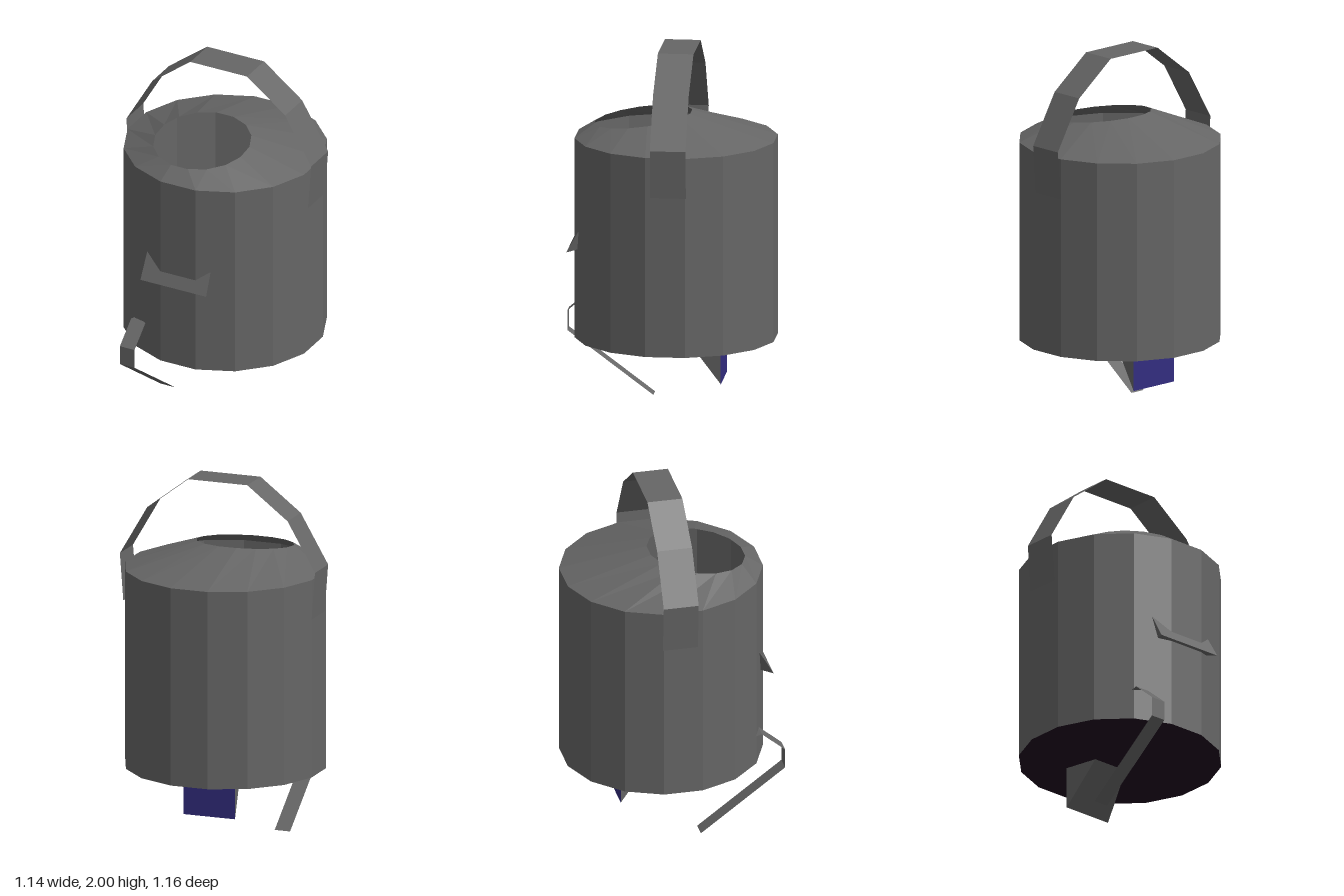
import * as THREE from 'three';

const make = (name, color) => {
  const m = new THREE.MeshStandardMaterial({ color, side: THREE.DoubleSide });
  m.name = name;
  return m;
};

// Skin a list of equal-length rows of points with flat-shaded quads
function loft(rows, closed = false) {
  const pos = [];
  const n = rows[0].length;
  for (let r = 0; r < rows.length - 1; r++) {
    for (let i = 0; i < (closed ? n : n - 1); i++) {
      const j = (i + 1) % n;
      const a = rows[r][i], b = rows[r][j], c = rows[r + 1][j], d = rows[r + 1][i];
      pos.push(...a, ...b, ...c, ...a, ...c, ...d);
    }
  }
  const g = new THREE.BufferGeometry();
  g.setAttribute('position', new THREE.Float32BufferAttribute(pos, 3));
  g.computeVertexNormals();
  return g;
}

// Sixteen-sided ring whose height may vary with z
function ring(cx, cz, radius, height) {
  return Array.from({ length: 16 }, (_, i) => {
    const a = (i + 0.5) * Math.PI / 8;
    const z = cz + radius * Math.cos(a);
    return [cx + radius * Math.sin(a), height(z), z];
  });
}

export function createModel() {
  const grey = make('grey metal', 0x666666);
  const dark = make('dark purple base', 0x200a20);
  const blue = make('blue panel', 0x332d80);

  const model = new THREE.Group();
  model.name = 'bucket';
  const add = (name, geometry, material) => {
    const mesh = new THREE.Mesh(geometry, material);
    mesh.name = name;
    model.add(mesh);
  };

  // Open shell: straight wall, then a shoulder rising to an off-centre tilted mouth
  const bottom = ring(-0.003, -0.04, 0.555, () => 0.39);
  const shoulder = ring(-0.003, -0.04, 0.555, () => 1.5);
  const opening = ring(-0.045, 0.145, 0.268, z => 1.595 - 0.132 * (z - 0.145));
  add('bodyWall', loft([bottom, shoulder], true), grey);
  add('shoulder', loft([shoulder, opening], true), grey);

  // Floor
  const floor = new THREE.CircleGeometry(0.555, 16, Math.PI / 16);
  floor.rotateX(Math.PI / 2).translate(-0.003, 0.39, -0.04);
  add('floor', floor, dark);

  // Folded strap handle
  const side = [[0.55, 1.28], [0.57, 1.545], [0.41, 1.82], [0.175, 2]];
  const arch = [...side, ...side.map(([x, y]) => [-x, y]).reverse()];
  add('handle', loft(arch.map(([x, y]) => [[x, y, 0.04], [x, y, -0.155]])), grey);

  // Folded strap hanging from the front
  const strap = [[0.55, 0.38], [0.57, 0.45], [0.46, 0.58], [0.35, 0.58], [0, 0.11]];
  add('frontStrap', loft(strap.map(([y, z]) => [[-0.32, y, z], [-0.23, y, z]])), grey);

  // Wedge poking through the front wall, narrowing inside
  const lip = [[-0.215, 0.88, 0.54], [0.19, 0.88, 0.54]];
  const crest = [[-0.215, 1.25, 0.33], [0.165, 1.25, 0.33]];
  const inner = [[-0.07, 0.94, 0.25], [0.04, 0.94, 0.25]];
  add('frontWedge', loft([lip, crest, inner, lip]), grey);
  add('frontWedgeSides', loft([
    [lip[0], crest[0], inner[0]], [lip[0], lip[0], lip[0]],
  ]), grey);
  add('frontWedgeSideLeft', loft([
    [lip[1], crest[1], inner[1]], [lip[1], lip[1], lip[1]],
  ]), grey);

  // Wedge below the floor with a coloured back
  const low = [[-0.16, 0.155, -0.3], [0.14, 0.155, -0.3]];
  const back = [[-0.16, 0.39, -0.3], [0.14, 0.39, -0.3]];
  const front = [[-0.12, 0.39, -0.11], [0.1, 0.39, -0.11]];
  add('lowerWedgeBack', loft([back, low]), blue);
  add('lowerWedgeFront', loft([low, front]), grey);
  for (const s of [0, 1]) {
    add(s ? 'lowerWedgeLeft' : 'lowerWedgeRight',
      loft([[low[s], front[s], back[s]], [low[s], low[s], low[s]]]), grey);
  }
  return model;
}
